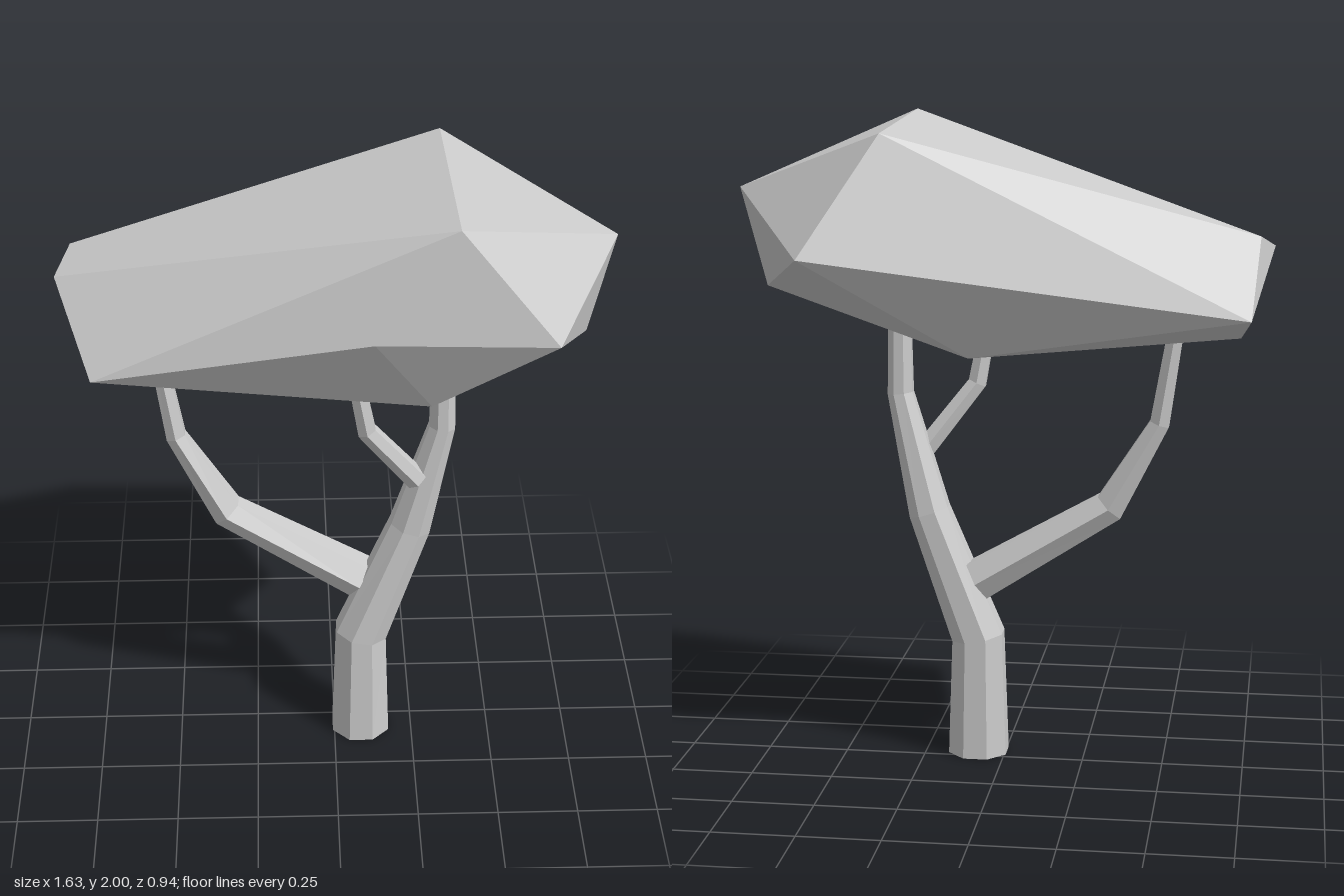
import * as THREE from 'three';
import { ConvexGeometry } from 'three/addons/geometries/ConvexGeometry.js';

const material = new THREE.MeshStandardMaterial({ color: 0xcccccc, flatShading: true });

// Tapered faceted limb through stations [x, y, z, radius], closed at both ends
function limb(name, stations, sides) {
  const pts = stations.map(([x, y, z]) => new THREE.Vector3(x, y, z));
  const last = pts.length - 1;
  const pos = [], idx = [];
  pts.forEach((p, i) => {
    const dir = pts[Math.min(i + 1, last)].clone().sub(p).normalize();
    if (i > 0) dir.add(p.clone().sub(pts[i - 1]).normalize());
    dir.normalize();
    const u = new THREE.Vector3().crossVectors(dir, new THREE.Vector3(0, 0, 1)).normalize();
    const v = new THREE.Vector3().crossVectors(u, dir);
    for (let k = 0; k < sides; k++) {
      const a = ((k + 0.5) / sides) * Math.PI * 2;
      const q = p.clone()
        .addScaledVector(u, Math.cos(a) * stations[i][3])
        .addScaledVector(v, Math.sin(a) * stations[i][3]);
      pos.push(q.x, q.y, q.z);
    }
  });
  for (let i = 0; i < last; i++) {
    for (let k = 0; k < sides; k++) {
      const a = i * sides + k, b = i * sides + ((k + 1) % sides);
      idx.push(a, a + sides, b, b, a + sides, b + sides);
    }
  }
  for (let k = 1; k < sides - 1; k++) {
    idx.push(0, k, k + 1);
    idx.push(last * sides, last * sides + k + 1, last * sides + k);
  }
  const geo = new THREE.BufferGeometry();
  geo.setAttribute('position', new THREE.Float32BufferAttribute(pos, 3));
  geo.setIndex(idx);
  geo.computeVertexNormals();
  // Reverse the winding if the shell came out facing inwards
  const c = pts[0].clone().add(pts[1]).multiplyScalar(0.5);
  const [A, B, C] = idx.slice(0, 3).map((n) => new THREE.Vector3().fromArray(pos, n * 3));
  const n = new THREE.Vector3().crossVectors(B.clone().sub(A), C.clone().sub(A));
  if (n.dot(A.clone().add(B).add(C).divideScalar(3).sub(c)) < 0) {
    geo.setIndex(idx.reverse());
    geo.computeVertexNormals();
  }
  const mesh = new THREE.Mesh(geo, material);
  mesh.name = name;
  return mesh;
}

export function createModel() {
  const tree = new THREE.Group();
  tree.name = 'tree';

  // Leaning trunk that carries the heavy end of the canopy
  tree.add(limb('trunk', [
    [0.085, 0, 0.055, 0.098],
    [0.085, 0.38, 0.048, 0.086],
    [0.235, 0.78, 0.035, 0.067],
    [0.325, 1.15, 0.045, 0.042],
    [0.325, 1.46, 0.04, 0.035],
  ], 8));

  // Long branch reaching to the narrow end
  tree.add(limb('longBranch', [
    [0.08, 0.57, 0.015, 0.07],
    [-0.33, 0.82, 0, 0.055],
    [-0.48, 1.085, -0.02, 0.034],
    [-0.53, 1.4, -0.035, 0.027],
  ], 6));

  // Short branch near the top of the trunk
  tree.add(limb('shortBranch', [
    [0.25, 0.975, 0.075, 0.036],
    [0.095, 1.175, 0.11, 0.032],
    [0.05, 1.42, 0.12, 0.026],
  ], 6));

  // Faceted canopy: the hull of a few corners
  const corners = [
    [0.33, 2.0, 0.42], [0.32, 1.965, -0.3], // top ridge
    [0.815, 1.78, 0.03], [0.74, 1.475, 0.05], // wide end
    [0.61, 1.66, 0.463], [0.1, 1.675, 0.465], [0.27, 1.4, 0.34], // front
    [0.535, 1.615, -0.47], [0.07, 1.31, -0.26], // back
    [-0.815, 1.63, -0.035], [-0.775, 1.67, -0.165], [-0.755, 1.44, -0.31], // narrow end
    [-0.7, 1.46, 0.28], [-0.72, 1.355, -0.06], [-0.45, 1.33, 0.06],
  ];
  const canopy = new THREE.Mesh(
    new ConvexGeometry(corners.map((c) => new THREE.Vector3(...c))), material);
  canopy.name = 'canopy';
  tree.add(canopy);

  return tree;
}
